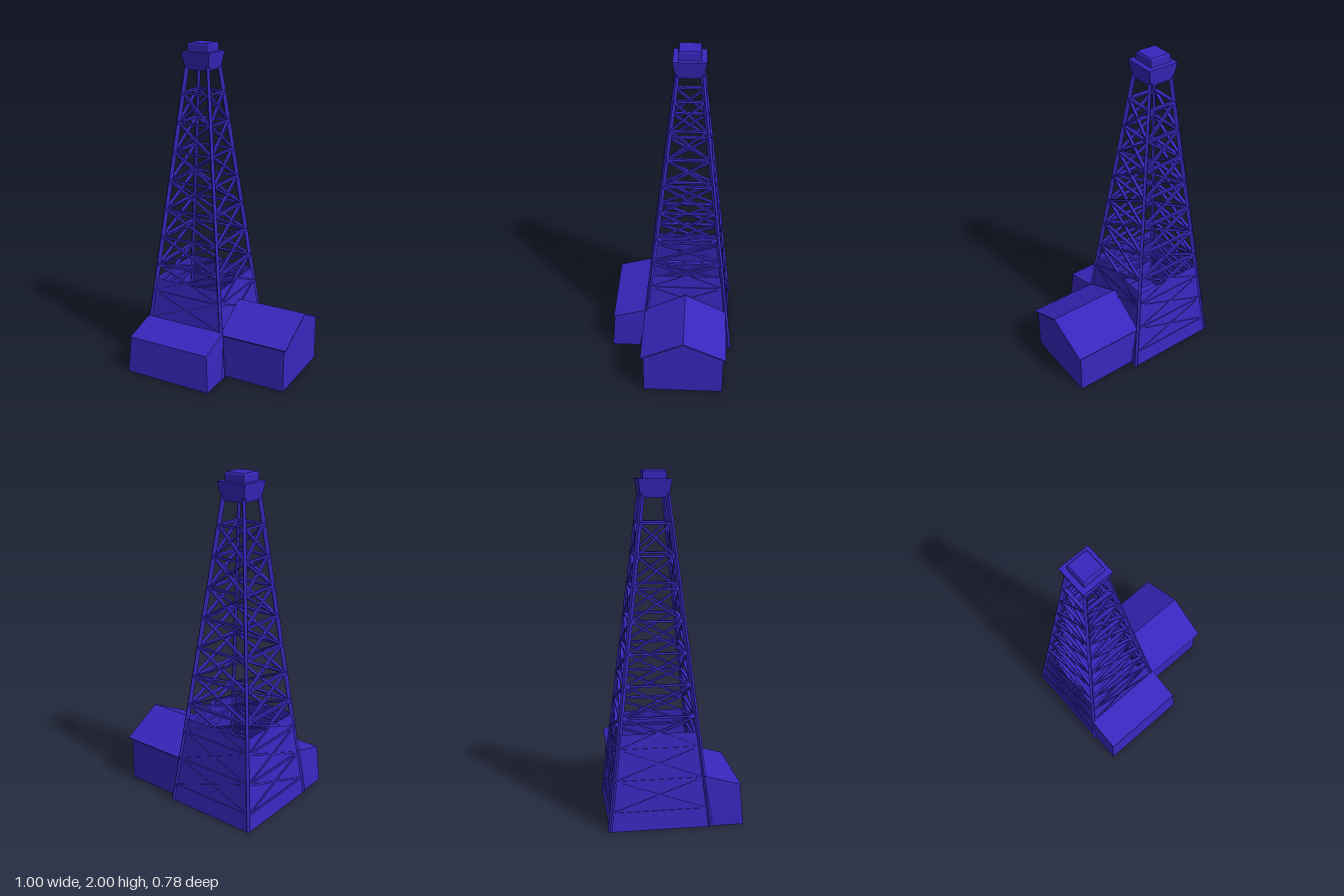
import * as THREE from 'three';
import { ConvexGeometry } from 'three/addons/geometries/ConvexGeometry.js';

const CX = -0.205, CZ = -0.09;                 // tower axis
const half = (y) => 0.285 - 0.115 * y;         // tower half width at height y
const V = (x, y, z) => new THREE.Vector3(x, y, z);

export function createModel() {
  const model = new THREE.Group();
  const color = 0x3826bd;
  const mat = new THREE.MeshStandardMaterial({ color, flatShading: true });
  const matDouble = new THREE.MeshStandardMaterial({ color, flatShading: true, side: THREE.DoubleSide });

  const add = (parent, name, geo, material = mat) => {
    const mesh = new THREE.Mesh(geo, material);
    mesh.name = name;
    parent.add(mesh);
    return mesh;
  };

  // Straight bar from a to b; depth is measured along the given normal
  const beam = (parent, name, a, b, normal, width, depth) => {
    const dir = b.clone().sub(a);
    const mesh = add(parent, name, new THREE.BoxGeometry(width, dir.length(), depth));
    const y = dir.normalize();
    const x = y.clone().cross(normal).normalize();
    mesh.quaternion.setFromRotationMatrix(new THREE.Matrix4().makeBasis(x, y, x.clone().cross(y)));
    mesh.position.copy(a).add(b).multiplyScalar(0.5);
  };

  // Square frustum with sides along x and z
  const frustum = (parent, name, y0, y1, h0, h1, open = false) => {
    const geo = new THREE.CylinderGeometry(h1 * Math.SQRT2, h0 * Math.SQRT2, y1 - y0, 4, 1, open);
    geo.rotateY(Math.PI / 4).translate(0, (y0 + y1) / 2, 0);
    return add(parent, name, geo, open ? matDouble : mat);
  };

  const tower = new THREE.Group();
  tower.name = 'tower';
  tower.position.set(CX, 0, CZ);
  model.add(tower);

  // Four identical sides: one leg, ring bars and cross braces each
  const levels = [0];
  for (let i = 0; i < 10; i++) levels.push(0.105 + i * 0.1783);
  const normal = V(0, 0.115, 1).normalize();
  for (let s = 0; s < 4; s++) {
    const side = new THREE.Group();
    side.name = 'towerSide';
    side.rotation.y = s * Math.PI / 2;
    tower.add(side);
    const p = (sign, y) => V(sign * half(y), y, half(y));
    beam(side, 'leg', p(1, 0.002), p(1, 1.87), V(1, 0, 1).normalize(), 0.018, 0.024);
    levels.forEach((y, i) => {
      if (i === 0) return;
      beam(side, 'ringBar', p(-1, y), p(1, y), normal, 0.012, 0.02);
      if (i === 1) return;
      const below = levels[i - 1];
      beam(side, 'crossBrace', p(-1, below), p(1, y), normal, 0.011, 0.018);
      beam(side, 'crossBrace', p(1, below), p(-1, y), normal, 0.011, 0.018);
    });
  }

  // Boarded base, open at the top
  frustum(tower, 'baseWalls', 0, 0.55, half(0) + 0.004, half(0.55) + 0.004, true);
  frustum(tower, 'floor', 0, 0.008, half(0), half(0.008));

  // Crown at the top
  frustum(tower, 'crownPlate', 1.845, 1.86, 0.074, 0.08);
  frustum(tower, 'crown', 1.855, 1.95, 0.079, 0.095);
  frustum(tower, 'cap', 1.95, 1.99, 0.066, 0.066);
  frustum(tower, 'capTop', 1.99, 2, 0.066, 0.06);

  // Lean-to along the front
  const leanTo = [];
  for (const s of [-1, 1]) {
    const x = (h) => -0.203 + s * h;
    leanTo.push(V(x(0.284), 0, 0.39), V(x(0.268), 0.23, 0.372), V(x(0.268), 0.292, 0.165),
      V(x(0.284), 0, 0.18));
  }
  add(model, 'leanTo', new ConvexGeometry(leanTo));
  const leanRoof = [];
  for (const x of [-0.471, 0.066]) {
    leanRoof.push(V(x, 0.228, 0.378), V(x, 0.236, 0.378), V(x, 0.296, 0.17), V(x, 0.285, 0.165));
  }
  add(model, 'leanToRoof', new ConvexGeometry(leanRoof));

  // Gabled house on the left side
  const house = [];
  for (const [x0, x1, x2] of [[0.07, 0.045, 0.03], [0.47, 0.47, 0.47]]) {
    house.push(V(x0, 0, 0.16), V(x0, 0, -0.33), V(x1, 0.285, 0.16), V(x1, 0.285, -0.33), V(x2, 0.412, -0.085));
  }
  add(model, 'house', new ConvexGeometry(house));

  // Thin gable roof, leaning out a little at the ridge
  const chevron = new THREE.Shape([
    [-0.175, 0.276], [0, 0.41], [0.345, 0.276],
  ].map(([z, y], i) => new THREE.Vector2([-0.174, 0.085, 0.344][i], y)).concat([
    new THREE.Vector2(0.346, 0.284), new THREE.Vector2(0.085, 0.42), new THREE.Vector2(-0.176, 0.284),
  ]));
  const roof = new THREE.ExtrudeGeometry(chevron, { depth: 0.442, bevelEnabled: false });
  roof.rotateY(Math.PI / 2).translate(0.05, 0, 0);
  const pos = roof.attributes.position;
  for (let i = 0; i < pos.count; i++) {
    if (pos.getX(i) > 0.3) pos.setX(i, pos.getX(i) + (pos.getY(i) - 0.37) * 0.06);
  }
  roof.computeVertexNormals();
  add(model, 'houseRoof', roof);

  return model;
}
